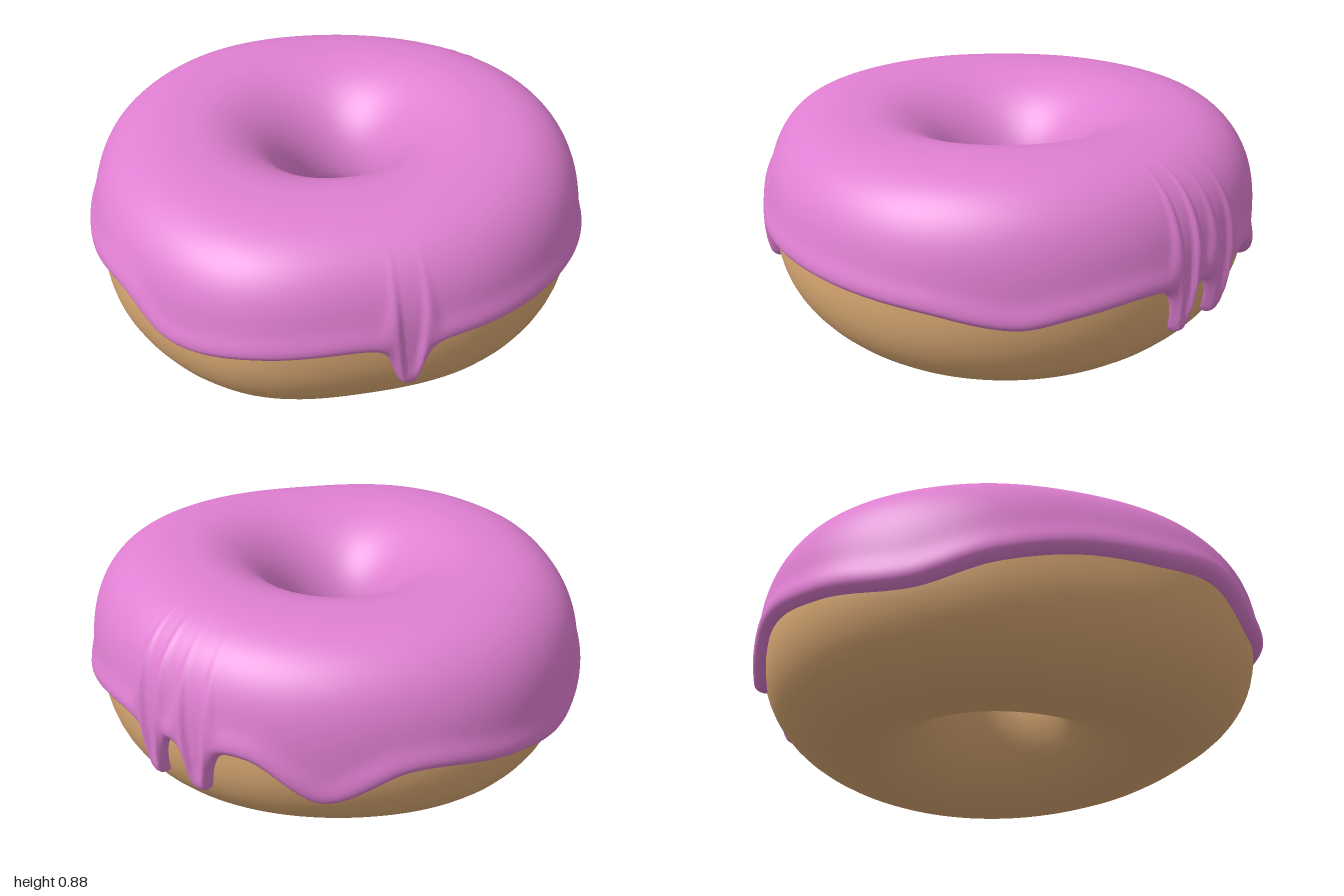
import * as THREE from 'three';

const RAD = Math.PI / 180;

// Periodic smooth curve through [degrees, value] pairs
function ringCurve(points) {
  const n = points.length;
  const at = (i) => {
    const w = Math.floor(i / n);
    const p = points[i - w * n];
    return [p[0] + 360 * w, p[1]];
  };
  const slope = (i) => (at(i + 1)[1] - at(i - 1)[1]) / (at(i + 1)[0] - at(i - 1)[0]);
  return (deg) => {
    const a = ((deg % 360) + 360) % 360;
    let i = n - 1;
    while (i > 0 && at(i)[0] > a) i--;
    const [a0, v0] = at(i), [a1, v1] = at(i + 1);
    const h = a1 - a0, t = (a - a0) / h, t2 = t * t, t3 = t2 * t;
    return v0 * (2 * t3 - 3 * t2 + 1) + v1 * (3 * t2 - 2 * t3)
      + h * (slope(i) * (t3 - 2 * t2 + t) + slope(i + 1) * (t3 - t2));
  };
}

// Outer radius of the dough around the ring (0 = +x, 90 = +z)
const outerRadius = ringCurve([
  [0, 0.94], [30, 0.95], [60, 0.95], [90, 0.945], [120, 1.015], [150, 0.99],
  [180, 0.945], [210, 0.965], [240, 0.99], [270, 0.965], [300, 0.95], [330, 0.94],
]);

// Height of the wavy icing edge, before the drips
const baseEdge = ringCurve([
  [0, 0.37], [20, 0.42], [45, 0.44], [70, 0.44], [96, 0.44], [113, 0.425], [133, 0.4],
  [147, 0.49], [165, 0.47], [182, 0.455], [200, 0.4], [218, 0.32], [240, 0.36],
  [262, 0.39], [280, 0.27], [296, 0.42], [332, 0.43], [348, 0.4],
]);

const drips = [
  { deg: 83, drop: 0.18, half: 0.062 },
  { deg: 308, drop: 0.21, half: 0.06 },
  { deg: 320.5, drop: 0.21, half: 0.05 },
];

function edgeHeight(deg) {
  let y = baseEdge(deg);
  for (const d of drips) {
    const t = ((deg - d.deg) * RAD * 0.97) / d.half;
    y -= d.drop / (1 + t ** 4);
  }
  return y;
}

// Dimensions of the tube section at one place on the ring
function section(deg) {
  const lobe = Math.max(0, Math.cos(deg * RAD)) ** 2;
  const top = 0.817 + 0.035 * lobe, bottom = 0.038 - 0.036 * lobe;
  const outer = outerRadius(deg), inner = 0.205;
  return {
    rc: (outer + inner) / 2, a: (outer - inner) / 2,
    yc: (top + bottom) / 2, b: (top - bottom) / 2,
  };
}

// Rounded section: squarer at the outer top, nearly elliptic elsewhere
function sectionPoint(s, theta) {
  const c = Math.cos(theta), q = Math.sin(theta);
  const n = c > 0 ? (q > 0 ? 2.7 : 2.15) : 2;
  const k = 1 / (Math.abs(c) ** n + Math.abs(q) ** n) ** (1 / n);
  return [s.rc + s.a * k * c, s.yc + s.b * k * q];
}

// Section point pushed outwards along its normal
function offsetPoint(s, theta, distance) {
  const [r, y] = sectionPoint(s, theta);
  const [r0, y0] = sectionPoint(s, theta - 0.02);
  const [r1, y1] = sectionPoint(s, theta + 0.02);
  const len = Math.hypot(r1 - r0, y1 - y0);
  return [r + (distance * (y1 - y0)) / len, y - (distance * (r1 - r0)) / len];
}

// Surface swept around the ring; profile(deg) gives a function of j returning [r, y]
function sweep(columns, rows, closed, profile) {
  const positions = [], index = [];
  for (let i = 0; i < columns; i++) {
    const deg = (360 * i) / columns, phi = deg * RAD;
    const point = profile(deg);
    for (let j = 0; j < rows; j++) {
      const [r, y] = point(j);
      positions.push(r * Math.cos(phi), y, r * Math.sin(phi));
    }
  }
  for (let i = 0; i < columns; i++) {
    const i1 = (i + 1) % columns;
    for (let j = 0; j < (closed ? rows : rows - 1); j++) {
      const j1 = (j + 1) % rows;
      const a = i * rows + j, b = i * rows + j1, c = i1 * rows + j1, d = i1 * rows + j;
      index.push(a, b, c, a, c, d);
    }
  }
  const geometry = new THREE.BufferGeometry();
  geometry.setAttribute('position', new THREE.Float32BufferAttribute(positions, 3));
  geometry.setIndex(index);
  geometry.computeVertexNormals();
  return geometry;
}

function createDough() {
  const rows = 56;
  return sweep(128, rows, true, (deg) => {
    const s = section(deg);
    return (j) => sectionPoint(s, (2 * Math.PI * j) / rows);
  });
}

function createIcing() {
  const rows = 72, thickness = 0.03;
  return sweep(600, rows, false, (deg) => {
    const s = section(deg);
    // Angle on the section where the icing stops on the outside
    const k = (edgeHeight(deg) - s.yc) / s.b;
    const n = k > 0 ? 2.7 : 2.15;
    const start = Math.atan2(k, (1 - Math.abs(k) ** n) ** (1 / n));
    const end = Math.PI + 0.08;
    // Steep drip sides count as close to the edge, which rounds them
    const steep = (edgeHeight(deg + 0.3) - edgeHeight(deg - 0.3)) / (0.6 * RAD * 0.97);
    const closeness = 1 / Math.hypot(1, steep);
    return (j) => {
      const theta = start + (end - start) * (j / (rows - 1)) ** 1.7;
      const dOuter = (theta - start) * s.b * closeness;
      const dInner = (end - theta) * s.b;
      const lip = (d, size) => Math.sqrt(1 - (1 - Math.min(1, d / size)) ** 2);
      const bulge = 0.016 * Math.exp(-(((dOuter - 0.045) / 0.05) ** 2));
      const h = (thickness + bulge) * lip(dOuter, 0.035) * lip(dInner, 0.25);
      return offsetPoint(s, theta, h - 0.004);
    };
  });
}

export function createModel() {
  const model = new THREE.Group();
  model.name = 'doughnut';

  const dough = new THREE.Mesh(createDough(), new THREE.MeshStandardMaterial({ color: 0xddab75 }));
  dough.name = 'dough';

  const icing = new THREE.Mesh(
    createIcing(),
    new THREE.MeshStandardMaterial({ color: 0xe07fd2, side: THREE.DoubleSide }),
  );
  icing.name = 'icing';

  model.add(dough, icing);
  return model;
}
